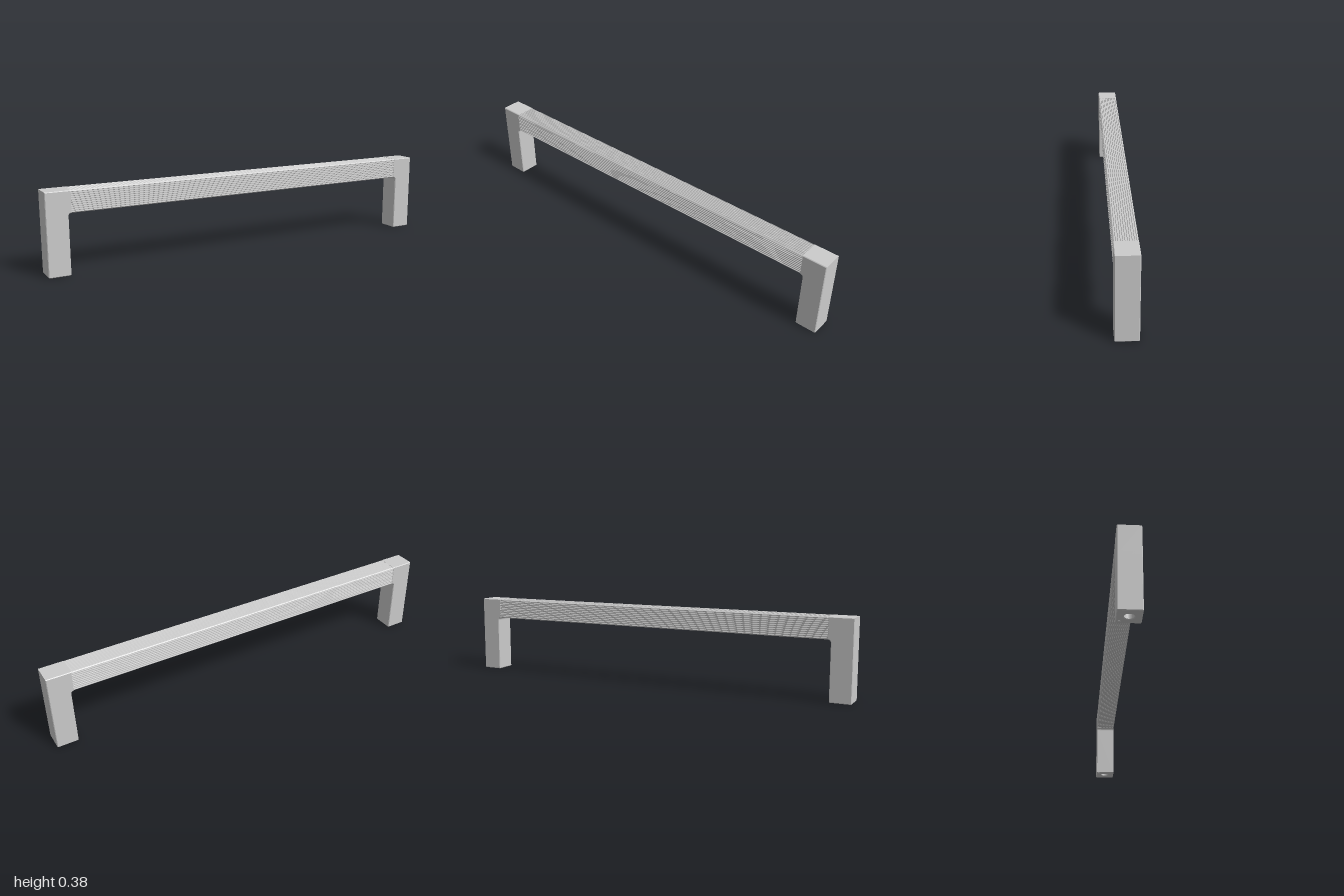
import * as THREE from 'three';

const H = 0.378;      // total height
const W = 0.1;        // bar and leg thickness
const B = 0.003;      // edge chamfer
const GRIP = 0.885;   // half length of the ribbed grip

const material = new THREE.MeshStandardMaterial({ color: 0xcccccc });

// Extrude to an exact depth with chamfered ends, starting at z = 0
function chamferExtrude(shape, depth) {
  return new THREE.ExtrudeGeometry(shape, {
    depth: depth - 2 * B, bevelEnabled: true, bevelThickness: B, bevelSize: B,
    bevelOffset: -B, bevelSegments: 1, curveSegments: 16,
  }).translate(0, 0, B);
}

function circleHole(x, y, r) {
  const path = new THREE.Path();
  path.absarc(x, y, r, 0, Math.PI * 2, true);
  return path;
}

// Square cross-section with lengthwise grooves cut in all four sides
function ribbedSection(half, grooves, depth) {
  const points = [];
  const flat = half - 0.004;
  const pitch = (2 * flat) / grooves;
  for (let side = 0; side < 4; side++) {
    const angle = side * Math.PI / 2;
    const add = (u, v) => points.push(new THREE.Vector2(u, v).rotateAround(new THREE.Vector2(), angle));
    add(-flat, -half);
    for (let i = 0; i < grooves; i++) {
      const u = -flat + i * pitch;
      add(u + pitch * 0.25, -half);
      add(u + pitch * 0.4, -half + depth);
      add(u + pitch * 0.6, -half + depth);
      add(u + pitch * 0.75, -half);
    }
    add(flat, -half);
  }
  return new THREE.Shape(points);
}

function createLeg(side) {
  const leg = new THREE.Group();
  leg.name = side > 0 ? 'leftLeg' : 'rightLeg';

  // Post with a screw hole and a small locating hole in its foot
  const h = W / 2, c = h - B;
  const outline = [[-c, -h], [c, -h], [h, -c], [h, c], [c, h], [-c, h], [-h, c], [-h, -c]];
  const square = new THREE.Shape(outline.map(([x, y]) => new THREE.Vector2(x, y)));
  square.holes.push(circleHole(0, 0, 0.02), circleHole(-side * 0.035, 0.035, 0.004));
  const postGeometry = chamferExtrude(square, 0.263).rotateX(-Math.PI / 2);
  const post = new THREE.Mesh(postGeometry, material);
  post.name = 'post';
  post.position.x = side * (1 - h);

  // Corner block with a small fillet under the grip
  const s = new THREE.Shape();
  s.moveTo(side, 0.245);
  s.lineTo(side, H);
  s.lineTo(side * GRIP, H);
  s.lineTo(side * GRIP, H - W);
  s.quadraticCurveTo(side * 0.9, H - W, side * 0.9, H - W - 0.015);
  s.lineTo(side * 0.9, 0.245);
  const corner = new THREE.Mesh(chamferExtrude(s, W).translate(0, 0, -h), material);
  corner.name = 'corner';

  leg.add(post, corner);
  return leg;
}

export function createModel() {
  const handle = new THREE.Group();
  handle.name = 'pullHandle';

  // Ribbed grip, tucked slightly into the corner blocks
  const length = 2 * (GRIP + 0.005);
  const gripGeometry = new THREE.ExtrudeGeometry(ribbedSection(0.0495, 10, 0.003), {
    depth: length, bevelEnabled: false,
  });
  gripGeometry.translate(0, 0, -length / 2).rotateY(Math.PI / 2);
  const grip = new THREE.Mesh(gripGeometry, material);
  grip.name = 'grip';
  grip.position.y = H - W / 2;

  handle.add(grip, createLeg(1), createLeg(-1));
  return handle;
}
